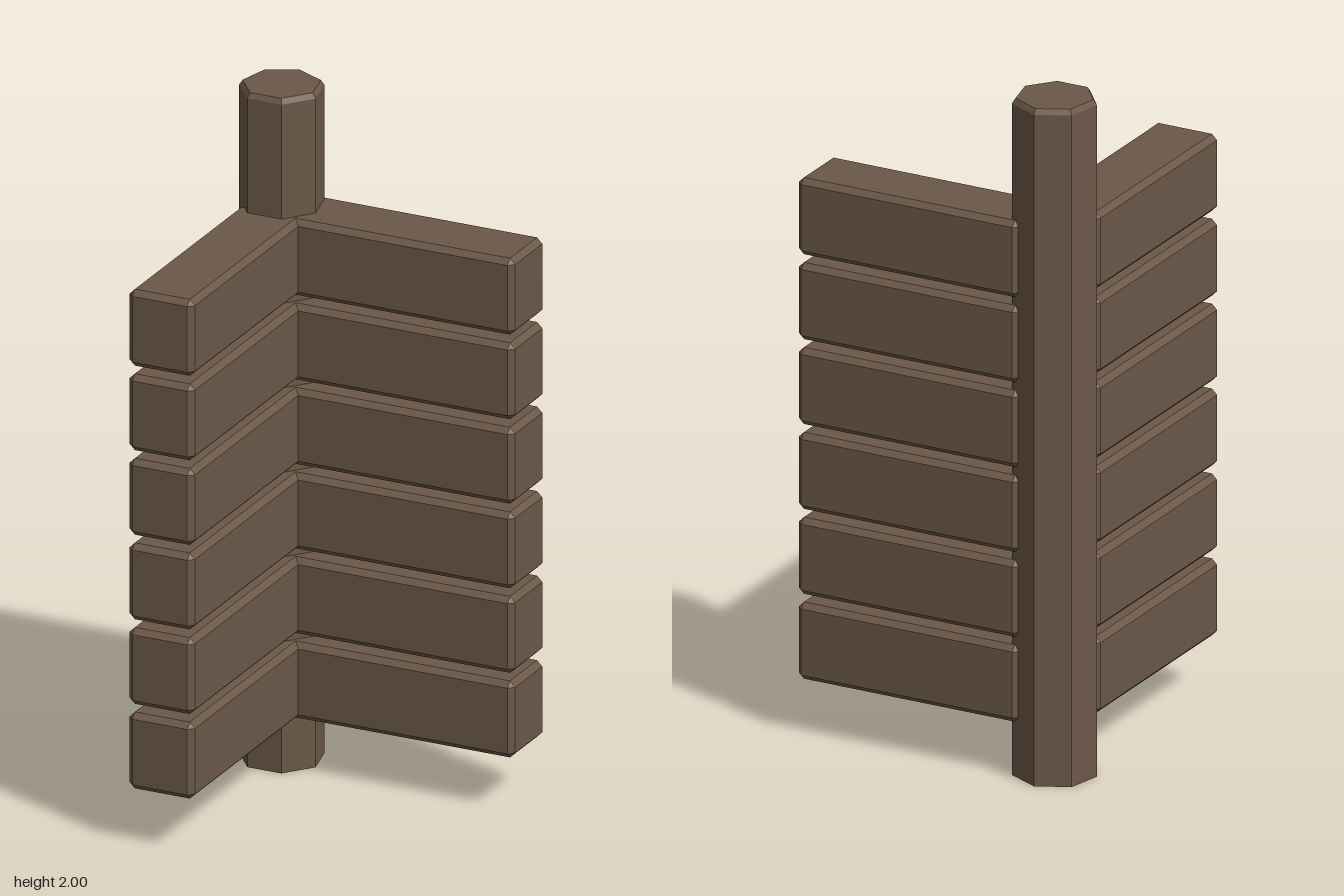
import * as THREE from 'three';
import { ConvexGeometry } from 'three/addons/geometries/ConvexGeometry.js';

// Box with every edge and corner cut flat
function chamferedBox(w, h, d, c) {
  const points = [];
  for (const x of [-1, 1]) for (const y of [-1, 1]) for (const z of [-1, 1]) {
    const [X, Y, Z] = [x * w / 2, y * h / 2, z * d / 2];
    points.push(
      new THREE.Vector3(X, Y - y * c, Z - z * c),
      new THREE.Vector3(X - x * c, Y, Z - z * c),
      new THREE.Vector3(X - x * c, Y - y * c, Z)
    );
  }
  return new ConvexGeometry(points);
}

export function createModel() {
  const model = new THREE.Group();
  model.name = 'cornerFence';
  const wood = new THREE.MeshStandardMaterial({ color: 0x6b5848, flatShading: true });
  wood.name = 'brown wood';

  // Seven-sided post, a vertex pointing to the back, with a bevelled top
  const postX = -0.32, postZ = -0.32, bevelY = 1.985;
  const addPost = (name, rTop, y0, y1, open) => {
    const geo = new THREE.CylinderGeometry(rTop, 0.12, y1 - y0, 7, 1, open, Math.PI);
    const mesh = new THREE.Mesh(geo, wood);
    mesh.name = name;
    mesh.position.set(postX, (y0 + y1) / 2, postZ);
    model.add(mesh);
  };
  addPost('post', 0.12, 0, bevelY, false);
  addPost('postTopBevel', 0.11, bevelY, 2, false);

  // Two rows of planks meeting at the post
  const start = -0.257, end = 0.437, length = end - start, mid = (start + end) / 2;
  const geoX = chamferedBox(length, 0.227, 0.2, 0.016);
  const geoZ = chamferedBox(0.2, 0.227, length, 0.016);
  for (let i = 0; i < 6; i++) {
    const y = 0.277 + i * 0.251;
    const back = new THREE.Mesh(geoX, wood);
    back.name = `backPlank${i + 1}`;
    back.position.set(mid, y, postZ);
    const side = new THREE.Mesh(geoZ, wood);
    side.name = `sidePlank${i + 1}`;
    side.position.set(postX, y, mid);
    model.add(back, side);
  }
  return model;
}
